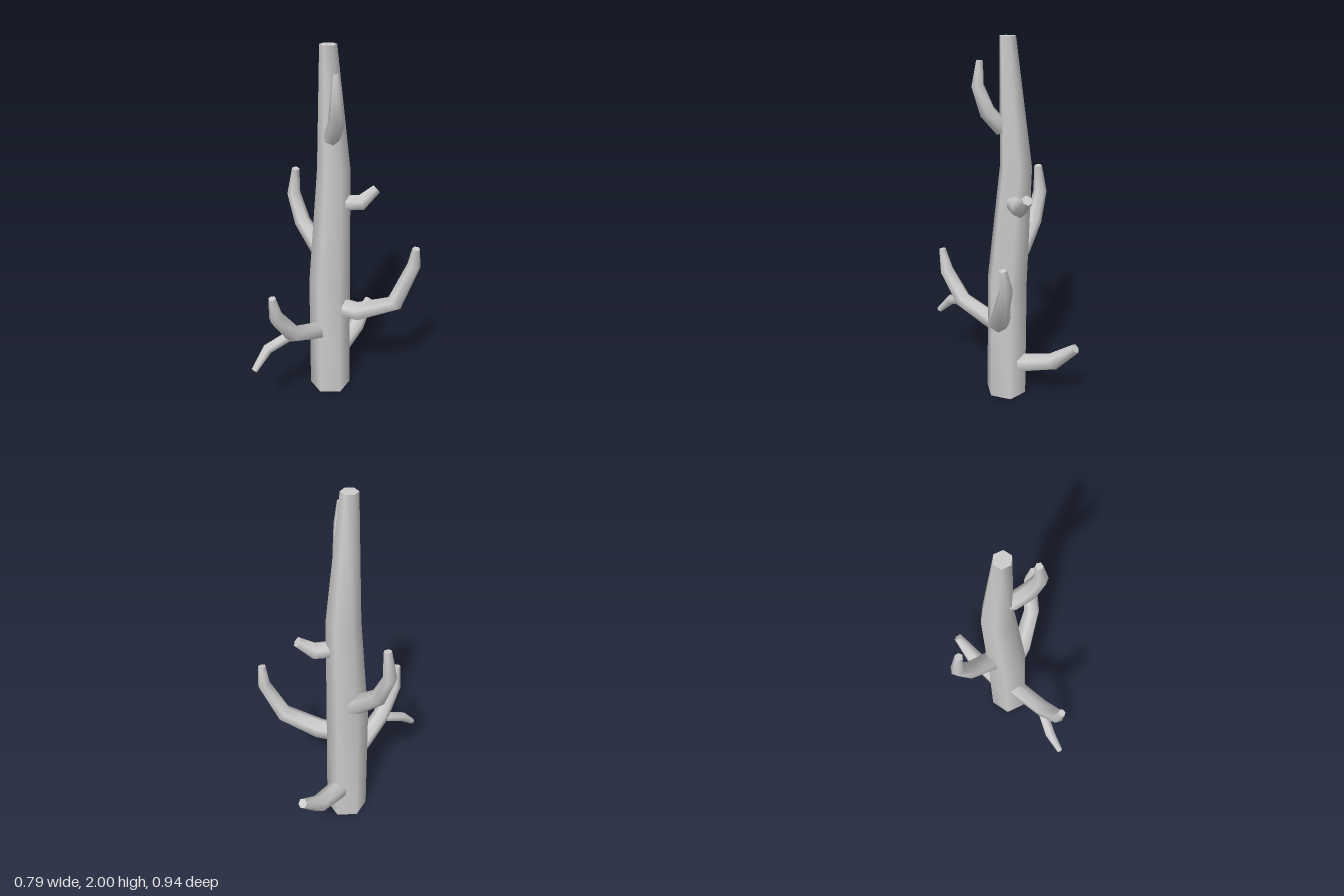
import * as THREE from 'three';

const SIDES = 6;

// Six-sided tapering limb through rings [x, y, z, radius], closed at both ends.
function limb(rings, level = false) {
  const centres = rings.map(([x, y, z]) => new THREE.Vector3(x, y, z));
  const pos = [], index = [];
  const up = new THREE.Vector3(0, 1, 0);
  const last = rings.length - 1;
  const tangents = centres.map((_, i) => level ? up.clone() :
    centres[Math.min(i + 1, last)].clone().sub(centres[Math.max(i - 1, 0)]).normalize());

  // one corner of the first ring points up (or to the front on the trunk)
  const u = level ? new THREE.Vector3(0, 0, 1)
    : up.clone().addScaledVector(tangents[0], -up.dot(tangents[0])).normalize();
  const turn = new THREE.Quaternion();
  const loops = centres.map((c, i) => {
    if (i > 0) u.applyQuaternion(turn.setFromUnitVectors(tangents[i - 1], tangents[i]));
    const v = tangents[i].clone().cross(u);
    return Array.from({ length: SIDES }, (_, j) => {
      const a = j / SIDES * Math.PI * 2;
      return c.clone().addScaledVector(u, Math.cos(a) * rings[i][3])
        .addScaledVector(v, Math.sin(a) * rings[i][3]);
    });
  });

  // sides share vertices, so they shade smoothly
  loops.forEach(loop => loop.forEach(p => pos.push(p.x, p.y, p.z)));
  for (let i = 0; i < last; i++) {
    for (let j = 0; j < SIDES; j++) {
      const k = (j + 1) % SIDES;
      const a = i * SIDES + j, b = i * SIDES + k;
      index.push(a, b, a + SIDES, b, b + SIDES, a + SIDES);
    }
  }
  // flat caps with their own vertices
  for (const end of [0, last]) {
    const first = pos.length / 3;
    loops[end].forEach(p => pos.push(p.x, p.y, p.z));
    for (let j = 1; j < SIDES - 1; j++) {
      if (end) index.push(first, first + j, first + j + 1);
      else index.push(first, first + j + 1, first + j);
    }
  }
  const geometry = new THREE.BufferGeometry();
  geometry.setAttribute('position', new THREE.Float32BufferAttribute(pos, 3));
  geometry.setIndex(index);
  geometry.computeVertexNormals();
  return geometry;
}

const TRUNK = [
  [-0.08, 0, -0.04, 0.116], [-0.08, 0.7, -0.041, 0.113],
  [-0.077, 1.35, -0.086, 0.087], [-0.077, 2, -0.037, 0.043],
];

const BRANCHES = {
  lowBackBranch: [
    [-0.075, 0.2, -0.11, 0.058], [-0.07, 0.205, -0.16, 0.056],
    [-0.055, 0.25, -0.32, 0.05], [-0.032, 0.37, -0.452, 0.027],
  ],
  frontBranch: [
    [-0.1, 0.395, 0, 0.054], [-0.115, 0.425, 0.08, 0.052],
    [-0.145, 0.5, 0.25, 0.048], [-0.172, 0.66, 0.36, 0.04], [-0.174, 0.79, 0.385, 0.02],
  ],
  frontTwig: [
    [-0.15, 0.495, 0.25, 0.03], [-0.235, 0.44, 0.365, 0.03], [-0.265, 0.345, 0.455, 0.018],
  ],
  leftBranch: [
    [-0.03, 0.555, -0.04, 0.055], [0.09, 0.545, -0.057, 0.057],
    [0.285, 0.625, -0.118, 0.048], [0.36, 0.85, -0.183, 0.036], [0.373, 0.96, -0.17, 0.021],
  ],
  rightBranch: [
    [-0.1, 0.8, -0.07, 0.056], [-0.17, 0.86, -0.09, 0.053],
    [-0.3, 0.985, -0.122, 0.045], [-0.362, 1.14, -0.138, 0.037], [-0.34, 1.29, -0.13, 0.021],
  ],
  backStub: [
    [-0.04, 1.17, -0.085, 0.047], [0.055, 1.165, -0.15, 0.046], [0.115, 1.235, -0.208, 0.028],
  ],
  topBranch: [
    [-0.052, 1.545, -0.02, 0.042], [0.008, 1.64, 0.04, 0.042],
    [0.033, 1.77, 0.08, 0.033], [0.026, 1.89, 0.071, 0.018],
  ],
};

export function createModel() {
  const group = new THREE.Group();
  group.name = 'bareTree';
  const material = new THREE.MeshStandardMaterial({ color: 0xcccccc });
  const add = (name, geometry) => {
    const mesh = new THREE.Mesh(geometry, material);
    mesh.name = name;
    group.add(mesh);
  };
  add('trunk', limb(TRUNK, true));
  for (const [name, rings] of Object.entries(BRANCHES)) add(name, limb(rings));
  return group;
}
